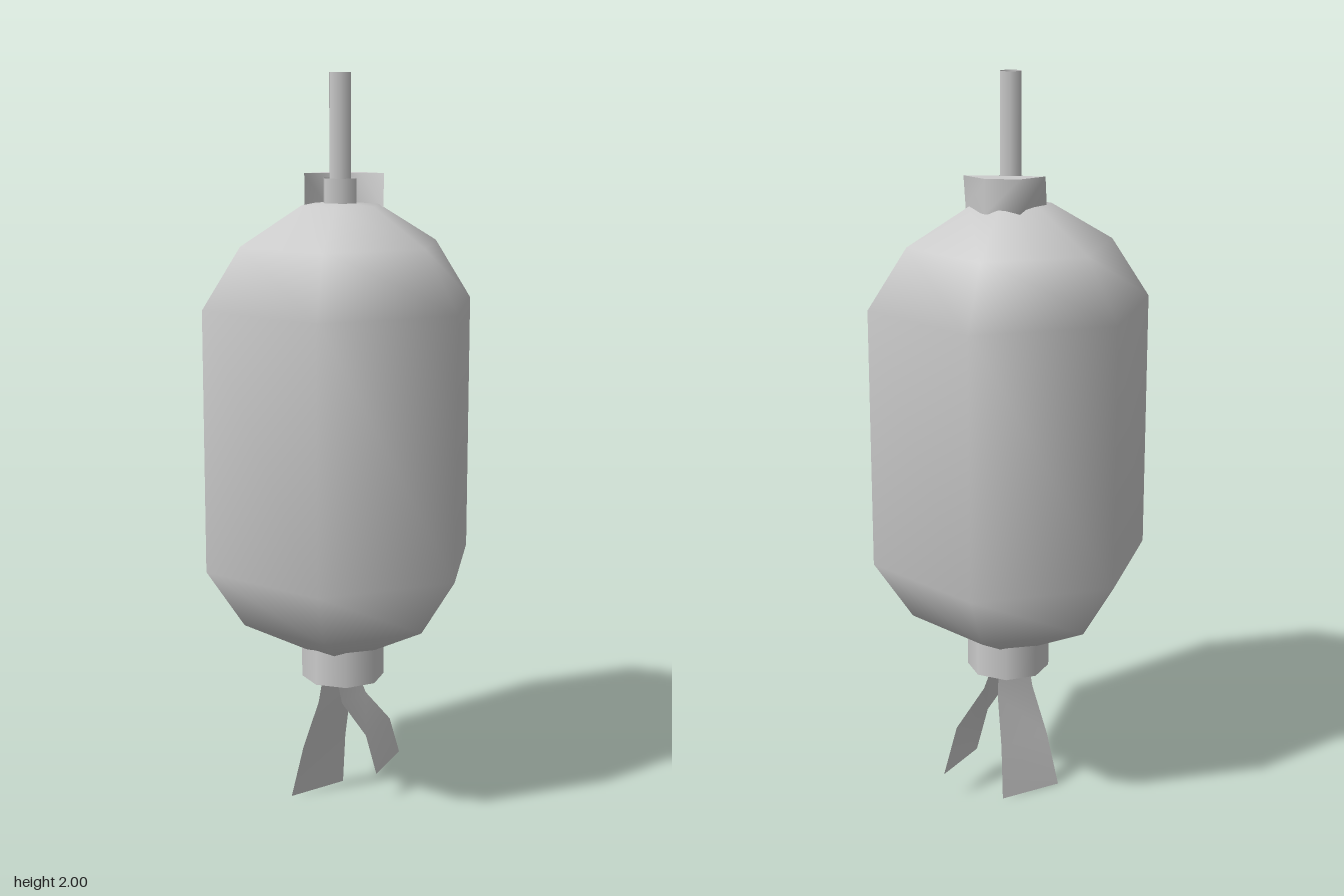
import * as THREE from 'three';

export function createModel() {
  const group = new THREE.Group();
  const material = new THREE.MeshStandardMaterial({ color: 0xcccccc, side: THREE.DoubleSide });
  const add = (name, geometry, y = 0, turn = 0) => {
    const mesh = new THREE.Mesh(geometry, material);
    mesh.name = name;
    mesh.position.y = y;
    mesh.rotation.y = turn;
    group.add(mesh);
    return mesh;
  };

  // Smooth surface through rows of [x, y, z] points
  const sheet = (rows) => {
    const n = rows[0].length;
    const index = [];
    for (let i = 0; i < rows.length - 1; i++) {
      for (let j = 0; j < n - 1; j++) {
        const a = i * n + j, b = a + n;
        index.push(a, b, a + 1, b, b + 1, a + 1);
      }
    }
    const geometry = new THREE.BufferGeometry();
    geometry.setAttribute('position', new THREE.Float32BufferAttribute(rows.flat(2), 3));
    geometry.setIndex(index);
    geometry.computeVertexNormals();
    return geometry;
  };

  // Six-sided lantern body with soft shading
  const profile = [[0, 0.44], [0.1, 0.45], [0.277, 0.54], [0.382, 0.7],
    [0.382, 1.4], [0.277, 1.56], [0.11, 1.66], [0, 1.67]]
    .map(([r, y]) => new THREE.Vector2(r, y));
  add('lanternBody', new THREE.LatheGeometry(profile, 6), 0, 0.02);

  // Hanging rod and the sleeve at its foot
  add('hangingRod', new THREE.CylinderGeometry(0.031, 0.031, 0.35, 6, 1, true), 1.825, 0.25);
  add('rodSleeve', new THREE.CylinderGeometry(0.048, 0.048, 0.08, 6, 1, true), 1.69, 0.25);

  // Half collar behind the rod, its ends slanting forward toward the bottom
  const rim = [[-0.1, -0.025], [-0.053, -0.095], [0.035, -0.112], [0.107, -0.065]];
  const foot = [[-0.09, 0.025], rim[1], rim[2], [0.108, -0.045]];
  const at = (y) => ([x, z]) => [x, y, z];
  add('topCollarWall', sheet([foot.map(at(1.65)), rim.map(at(1.74))]));
  add('topCollarLid', sheet([
    [rim[0], rim[3]].map(at(1.74)),
    [rim[1], rim[2]].map(at(1.74)),
  ]));

  // Open ring under the body
  const ring = add('bottomCollar',
    new THREE.CylinderGeometry(0.113, 0.113, 0.1, 8, 1, true), 0.415, 0.25);
  ring.position.x = 0.008;

  // Two flaring ribbons; each row is y, then x and z of both edges
  const ribbon = (name, rows) => add(name, sheet(
    rows.map(([y, x1, z1, x2, z2]) => [[x1, y, z1], [x2, y, z2]])));
  ribbon('longRibbon', [
    [0.44, -0.03, 0.03, 0.02, -0.04],
    [0.29, -0.055, 0.03, 0.02, -0.06],
    [0.15, -0.1, 0.025, 0.0, -0.09],
    [0, -0.135, 0.02, -0.01, -0.11],
  ]);
  ribbon('shortRibbon', [
    [0.44, -0.01, 0.07, 0.02, -0.02],
    [0.3, 0.015, 0.055, 0.065, -0.045],
    [0.2, 0.078, 0.03, 0.125, -0.11],
    [0.08, 0.105, 0.01, 0.145, -0.165],
  ]);

  return group;
}
